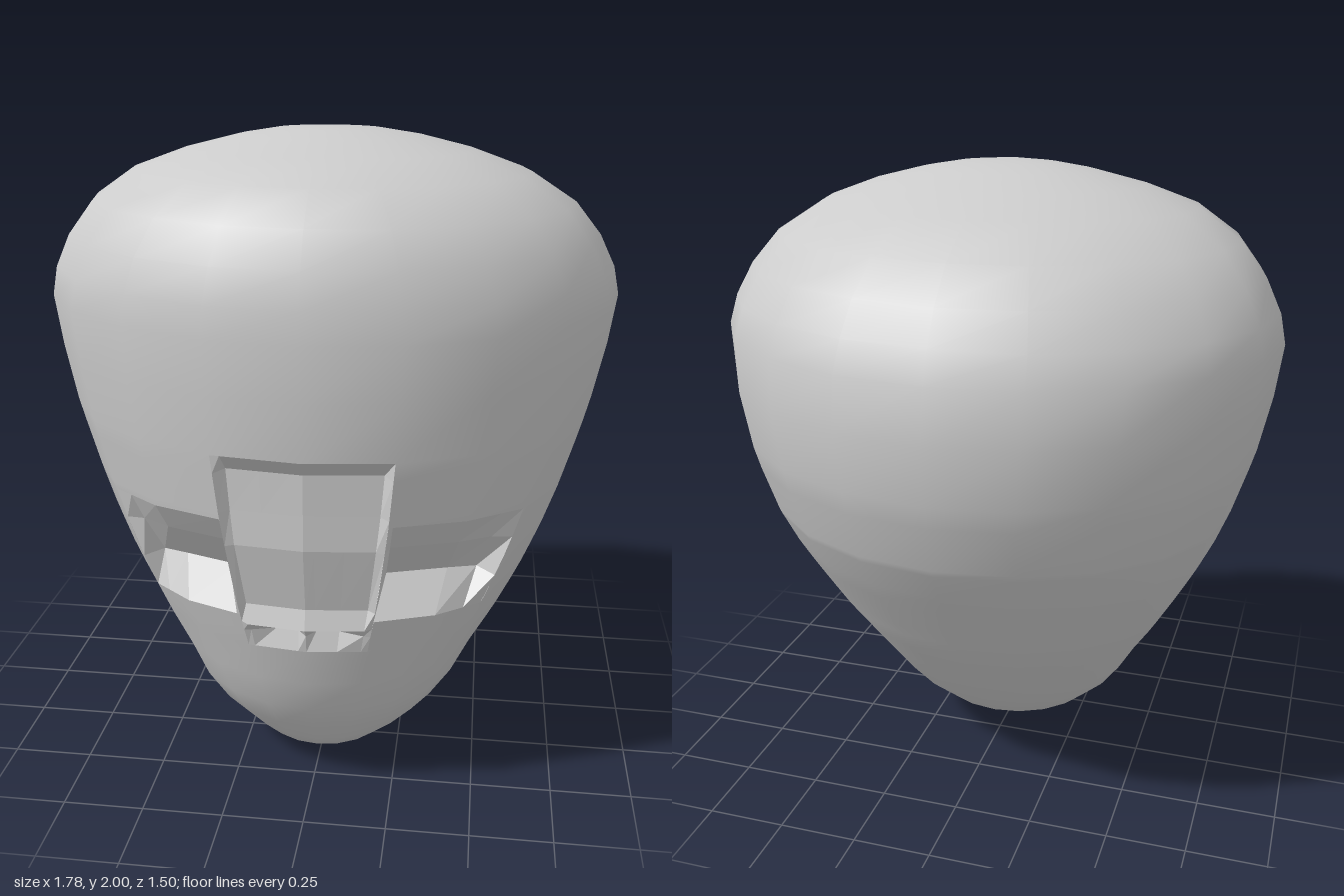
import * as THREE from 'three';
import { mergeVertices } from 'three/addons/utils/BufferGeometryUtils.js';

const SIDES = 20, STEP = 360 / SIDES;
// cross-sections: y, half width, front z, back z
const PROFILE = [
  [0, 0, .2, .2], [.012, .09, .29, .12], [.03, .15, .36, .07], [.06, .21, .43, .01], [.11, .285, .47, -.07],
  [.19, .37, .53, -.16], [.29, .44, .59, -.25], [.4, .5, .62, -.34], [.52, .575, .65, -.43],
  [.66, .65, .685, -.52], [.8, .715, .705, -.61], [.97, .78, .73, -.70], [1.16, .835, .747, -.74],
  [1.33, .87, .75, -.75], [1.49, .89, .742, -.715], [1.58, .87, .725, -.67], [1.68, .82, .70, -.61],
  [1.78, .74, .64, -.51], [1.87, .605, .54, -.35], [1.93, .44, .4, -.21], [1.97, .28, .28, -.09],
  [1.99, .16, .2, 0], [2, 0, .13, .13],
];
const EYE_ROWS = [.63, .73, .86, .95];
const NOSE_ROWS = [.52, .575, .605, .66, .86, .97, 1.1, 1.16];

function section(y) {
  let i = 1;
  while (i < PROFILE.length - 1 && PROFILE[i][0] < y) i++;
  const a = PROFILE[i - 1], b = PROFILE[i];
  const t = THREE.MathUtils.clamp((y - a[0]) / (b[0] - a[0]), 0, 1);
  return a.map((v, k) => THREE.MathUtils.lerp(v, b[k], t));
}

// point on the skull at a corner angle; face rows bow upward toward the middle
function corner(deg, y) {
  const r = THREE.MathUtils.degToRad(deg), c = Math.cos(r);
  if (y > .4 && y < 1.2) y += .1 * (Math.max(c, .3) - .8) * Math.sin(Math.PI * (y - .4) / .8);
  const [, w, f, b] = section(y);
  return new THREE.Vector3(w * Math.sin(r), y, (f + b) / 2 + (f - b) / 2 * c);
}

// point on the faceted skull, pushed d along z
function surface(deg, y, d = 0) {
  const k = Math.floor(deg / STEP), t = deg / STEP - k;
  const p = corner(k * STEP, y).lerp(corner((k + 1) * STEP, y), t);
  p.z += d;
  return p;
}

// grid of quads over angles and rows, with an optional depth rule and hole rule
function grid(angles, rows, depth = () => 0, skip = () => false) {
  const pos = [];
  for (let j = 0; j < rows.length - 1; j++) {
    for (let i = 0; i < angles.length - 1; i++) {
      const a0 = angles[i], a1 = angles[i + 1], y0 = rows[j], y1 = rows[j + 1];
      if (skip((a0 + a1) / 2, (y0 + y1) / 2)) continue;
      const [a, b, c, d] = [[a0, y0, i, j], [a1, y0, i + 1, j], [a1, y1, i + 1, j + 1], [a0, y1, i, j + 1]]
        .map(([g, y, u, v]) => surface(g, y, depth(u, v)));
      for (const tri of [[a, b, c], [a, c, d]]) {
        const area = tri[1].clone().sub(tri[0]).cross(tri[2].clone().sub(tri[0])).length();
        if (area > 1e-9) for (const p of tri) pos.push(p.x, p.y, p.z);
      }
    }
  }
  const g = new THREE.BufferGeometry();
  g.setAttribute('position', new THREE.Float32BufferAttribute(pos, 3));
  return g;
}

export function createModel() {
  const group = new THREE.Group();
  const add = (name, geometry, flatShading) => {
    geometry.computeVertexNormals();
    const mesh = new THREE.Mesh(geometry, new THREE.MeshStandardMaterial({
      color: 0xcccccc, flatShading, side: THREE.DoubleSide }));
    mesh.name = name;
    group.add(mesh);
  };

  // smooth skull with openings for the eyes and nose
  const rows = [...new Set([...PROFILE.map(p => p[0]), ...EYE_ROWS, ...NOSE_ROWS])].sort((a, b) => a - b);
  const angles = Array.from({ length: SIDES + 1 }, (_, i) => i * STEP - 180);
  const open = (a, y) => {
    a = Math.abs(a);
    return a < 18 ? y > .52 && y < 1.16 : a < 54 && y > .63 && y < .95;
  };
  add('head', mergeVertices(grid(angles, rows, undefined, open), 1e-4), false);

  // eye sockets: shallow brow, deep crease, lower lid coming back out
  const eyeAngles = [18, 19, 36, 47, 54], eyeDepth = [0, -.13, -.045, 0], eyeSpread = [0, 1, 1, .75, 0];
  add('leftEyeSocket', grid(eyeAngles, EYE_ROWS, (i, j) => eyeDepth[j] * eyeSpread[i]), true);
  add('rightEyeSocket', grid(eyeAngles.map(a => -a).reverse(), EYE_ROWS,
    (i, j) => eyeDepth[j] * eyeSpread[4 - i]), true);

  // nose: notched under the brow, sloping out to the tip, with two nostrils
  const noseAngles = [-18, -16, -9, -2.5, 0, 2.5, 9, 16, 18];
  const noseDepth = [0, -.005, .015, -.02, -.015, -.035, -.05, 0];
  const nostril = (i, j) => j === 1 && [2, 3, 5, 6].includes(i) ? -.03 : 0;
  add('nose', grid(noseAngles, NOSE_ROWS,
    (i, j) => i === 0 || i === 8 ? 0 : noseDepth[j] + nostril(i, j)), true);
  return group;
}
